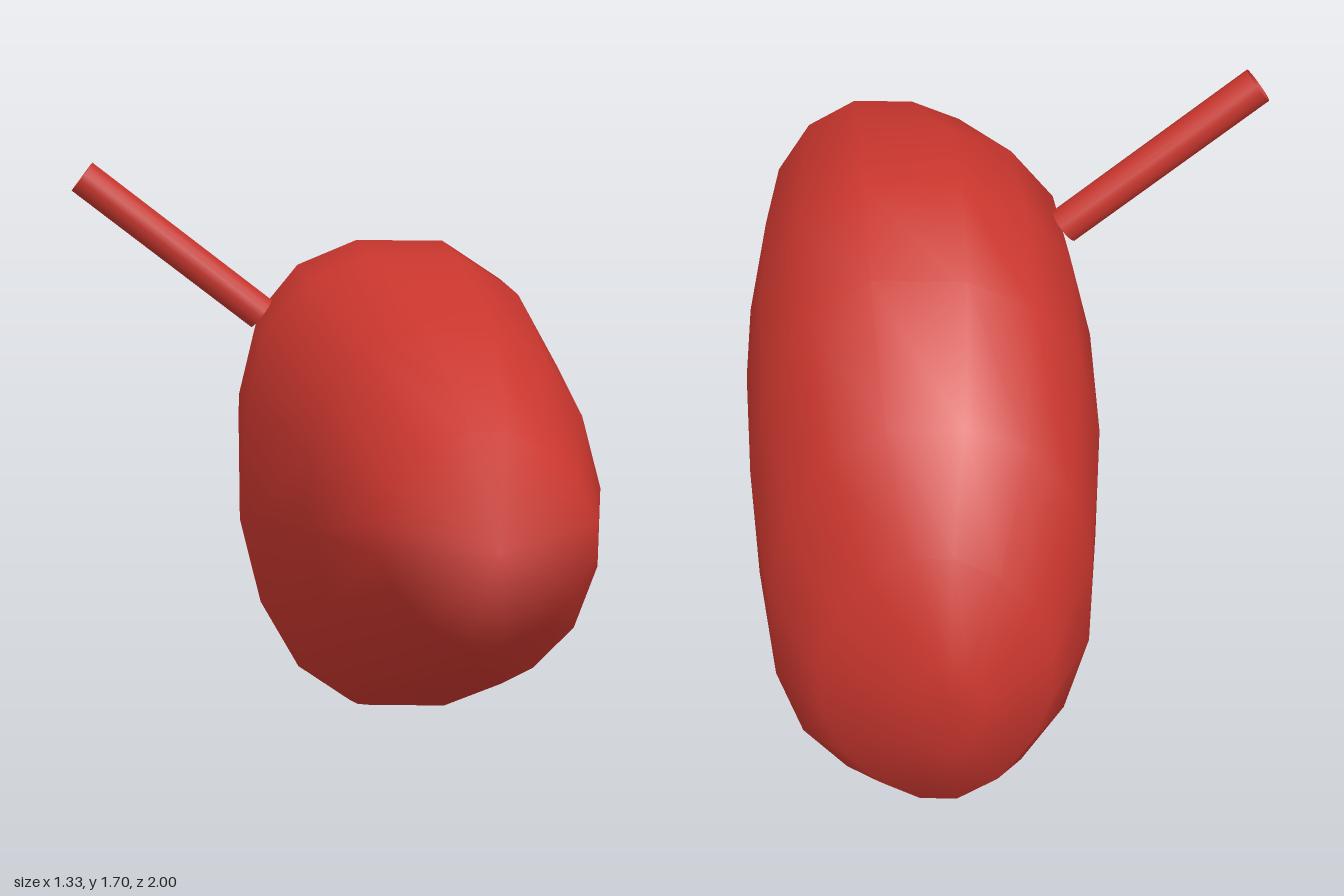
import * as THREE from 'three';

const red = new THREE.MeshStandardMaterial({ color: 0xc9362e, side: THREE.DoubleSide });
red.name = 'red';

// Body cross-sections from nose to back: z at bottom, z at top, left edge, right edge,
// bottom, top, roundness (below 1 is boxier, above 1 more like a diamond) and
// tilt (raises the left flank and lowers the right, as a share of half width)
const SECTIONS = [
  [0.91, 0.82, 0.12, 0.605, 0.73, 1.20, 1.15, 0],
  [0.50, 0.47, -0.04, 0.66, 0.47, 1.37, 0.92, 0.12],
  [0.02, 0.08, -0.21, 0.65, 0.23, 1.48, 0.84, 0.16],
  [-0.22, -0.22, -0.25, 0.625, 0.135, 1.48, 0.82, 0.16],
  [-0.47, -0.48, -0.27, 0.59, 0.045, 1.36, 0.84, 0.16],
  [-0.75, -0.75, -0.25, 0.52, 0.005, 1.14, 0.9, 0.16],
  [-0.91, -0.92, -0.16, 0.39, 0.13, 0.90, 1.05, 0.1],
  [-0.99, -0.995, 0.00, 0.17, 0.37, 0.65, 1.1, 0],
];
const NOSE = [0.38, 0.97, 1];
const BACK = [0.08, 0.55, -1];
const SEGMENTS = 16;

// Rounded outline with small flats at its extremes
function bulge(t, power) {
  return Math.sign(t) * Math.pow(Math.abs(t) / Math.cos(Math.PI / SEGMENTS), power);
}

function createBody() {
  const positions = [...NOSE];
  for (const [zBottom, zTop, x0, x1, y0, y1, roundness, tilt] of SECTIONS) {
    const halfWidth = (x1 - x0) / 2;
    for (let j = 0; j < SEGMENTS; j++) {
      const a = ((j + 0.5) / SEGMENTS) * Math.PI * 2;
      const power = Math.sin(a) > 0 ? roundness : roundness + 0.06;
      const u = bulge(Math.cos(a), power);
      const v = bulge(Math.sin(a), power);
      const lean = tilt * halfWidth * u * (1 - v * v * v * v);
      positions.push(
        (x0 + x1) / 2 + halfWidth * u,
        (y0 + y1) / 2 + ((y1 - y0) / 2) * v - lean,
        THREE.MathUtils.lerp(zBottom, zTop, (v + 1) / 2)
      );
    }
  }
  positions.push(...BACK);

  const last = positions.length / 3 - 1;
  const at = (i, j) => 1 + i * SEGMENTS + (j % SEGMENTS);
  const index = [];
  for (let j = 0; j < SEGMENTS; j++) {
    index.push(0, at(0, j), at(0, j + 1));
    for (let i = 0; i < SECTIONS.length - 1; i++) {
      index.push(at(i, j), at(i + 1, j), at(i + 1, j + 1));
      index.push(at(i, j), at(i + 1, j + 1), at(i, j + 1));
    }
    index.push(at(SECTIONS.length - 1, j), last, at(SECTIONS.length - 1, j + 1));
  }

  const geometry = new THREE.BufferGeometry();
  geometry.setAttribute('position', new THREE.Float32BufferAttribute(positions, 3));
  geometry.setIndex(index);
  geometry.computeVertexNormals();
  const body = new THREE.Mesh(geometry, red);
  body.name = 'body';
  return body;
}

// Open tube leaning out of the upper shoulder
function createStem() {
  const base = new THREE.Vector3(-0.18, 1.3, -0.1);
  const tip = new THREE.Vector3(-0.64, 1.665, -0.055);
  const axis = tip.clone().sub(base);
  const stem = new THREE.Mesh(
    new THREE.CylinderGeometry(0.046, 0.046, axis.length(), 16, 1, true), red);
  stem.position.copy(base).lerp(tip, 0.5);
  stem.quaternion.setFromUnitVectors(new THREE.Vector3(0, 1, 0), axis.normalize());
  stem.name = 'stem';
  return stem;
}

export function createModel() {
  const model = new THREE.Group();
  model.name = 'stemmedBody';
  model.add(createBody(), createStem());
  return model;
}
